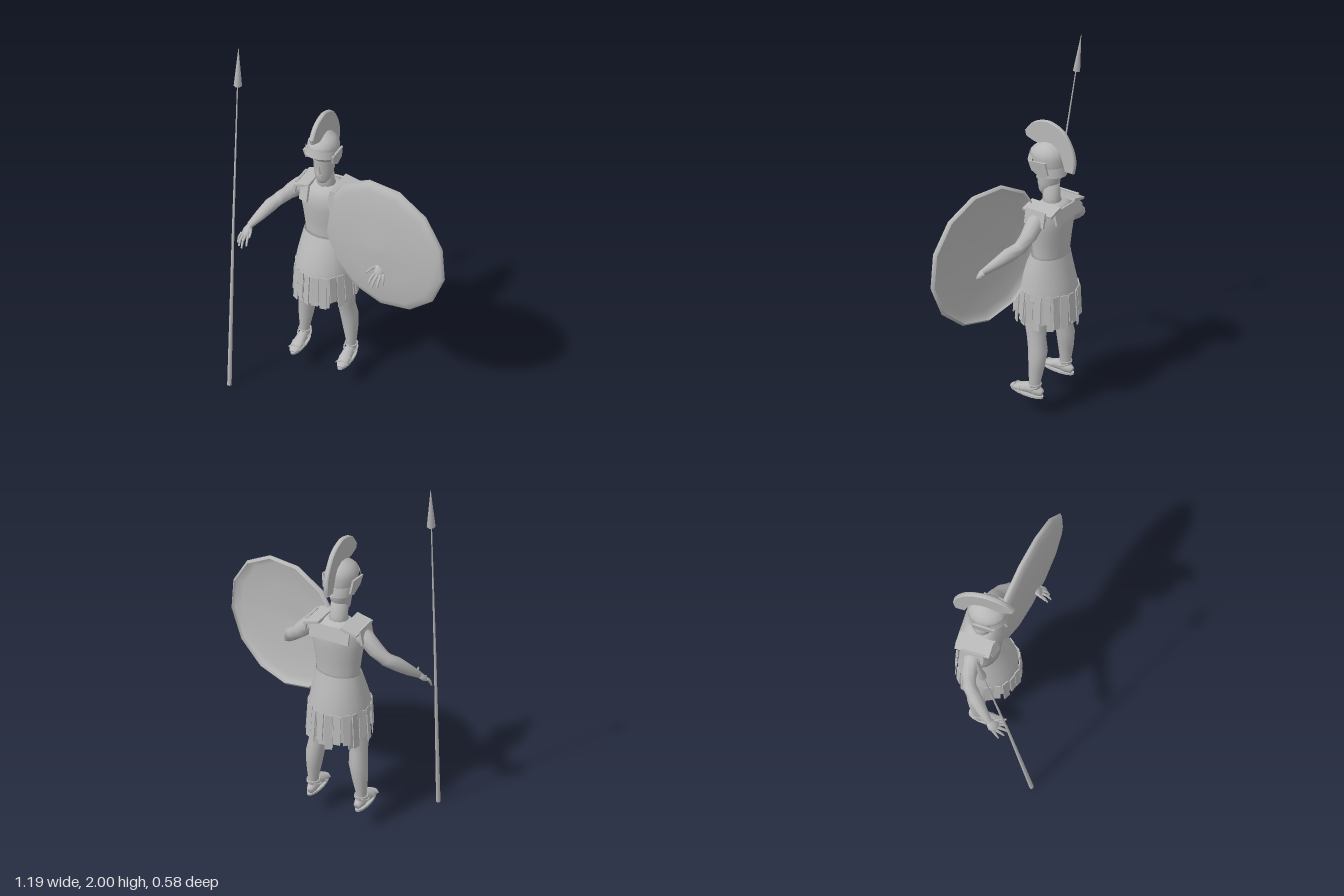
import * as THREE from 'three';

const grey = new THREE.MeshStandardMaterial({ color: 0xb8b8b8, side: THREE.DoubleSide });
grey.name = 'plain grey';

function add(parent, name, geometry, x = 0, y = 0, z = 0) {
  const mesh = new THREE.Mesh(geometry, grey);
  mesh.name = name;
  mesh.position.set(x, y, z);
  parent.add(mesh);
  return mesh;
}

// Skin over elliptical rings [x, y, z, rx, rz]; level rings lie flat, others follow the path
function loft(rings, sides = 10, level = false, capped = true) {
  const pos = [], index = [], up = new THREE.Vector3(0, 1, 0);
  const centres = rings.map(r => new THREE.Vector3(r[0], r[1], r[2]));
  rings.forEach((r, k) => {
    const a = centres[Math.max(k - 1, 0)], b = centres[Math.min(k + 1, rings.length - 1)];
    const q = new THREE.Quaternion();
    if (!level) q.setFromUnitVectors(up, b.clone().sub(a).normalize());
    for (let i = 0; i < sides; i++) {
      const t = i / sides * Math.PI * 2;
      const p = new THREE.Vector3(Math.sin(t) * r[3], 0, Math.cos(t) * (r[4] ?? r[3]));
      pos.push(...p.applyQuaternion(q).add(centres[k]).toArray());
    }
  });
  for (let k = 0; k < rings.length - 1; k++) {
    for (let i = 0; i < sides; i++) {
      const a = k * sides + i, b = k * sides + (i + 1) % sides;
      index.push(a, b, b + sides, a, b + sides, a + sides);
    }
  }
  if (capped) {
    const last = (rings.length - 1) * sides, c = pos.length / 3;
    pos.push(...centres[0].toArray(), ...centres.at(-1).toArray());
    for (let i = 0; i < sides; i++) {
      const j = (i + 1) % sides;
      index.push(c, j, i, c + 1, last + i, last + j);
    }
  }
  const g = new THREE.BufferGeometry();
  g.setAttribute('position', new THREE.Float32BufferAttribute(pos, 3));
  g.setIndex(index);
  g.computeVertexNormals();
  return g;
}

function makeArm() {
  const arm = new THREE.Group();
  arm.name = 'arm';
  add(arm, 'armLimb', loft([
    [0.10, 1.21, -0.125, 0.045], [0.16, 1.185, -0.125, 0.046], [0.21, 1.135, -0.125, 0.042],
    [0.265, 1.085, -0.11, 0.036], [0.305, 1.05, -0.07, 0.037], [0.345, 1.0, -0.02, 0.029],
    [0.382, 0.955, 0.03, 0.018]]));
  add(arm, 'palm', loft([
    [0.378, 0.958, 0.026, 0.018, 0.016], [0.388, 0.935, 0.05, 0.03, 0.016],
    [0.392, 0.915, 0.07, 0.028, 0.012]], 8));
  // Thumb first, then the four spread fingers
  const fingers = [
    [[0.368, 0.945, 0.045], [0.352, 0.947, 0.075], [0.340, 0.94, 0.11]],
    [[0.37, 0.92, 0.065], [0.362, 0.905, 0.1], [0.357, 0.88, 0.118]],
    [[0.385, 0.915, 0.07], [0.383, 0.9, 0.11], [0.38, 0.87, 0.13]],
    [[0.4, 0.915, 0.068], [0.405, 0.895, 0.1], [0.404, 0.868, 0.115]],
    [[0.412, 0.92, 0.062], [0.422, 0.9, 0.08], [0.425, 0.87, 0.092]]];
  for (const f of fingers) add(arm, 'finger', loft(f.map((p, i) => [...p, 0.009 - i * 0.002]), 6));
  return arm;
}

function makeLeg() {
  const leg = new THREE.Group();
  leg.name = 'leg';
  add(leg, 'legLimb', loft([
    [0.145, 0.16, -0.128, 0.026, 0.034], [0.145, 0.23, -0.125, 0.028, 0.034],
    [0.138, 0.32, -0.13, 0.041, 0.045], [0.128, 0.42, -0.132, 0.05, 0.054],
    [0.12, 0.50, -0.115, 0.047, 0.054], [0.115, 0.56, -0.11, 0.054, 0.063],
    [0.09, 0.70, -0.105, 0.068, 0.075], [0.075, 0.85, -0.105, 0.07, 0.075]], 12, true));
  add(leg, 'foot', loft([
    [0.142, 0.167, -0.172, 0.018, 0.02], [0.143, 0.175, -0.14, 0.029, 0.032],
    [0.145, 0.178, -0.09, 0.03, 0.034], [0.147, 0.165, -0.04, 0.034, 0.022],
    [0.148, 0.157, 0.0, 0.033, 0.014], [0.148, 0.152, 0.025, 0.02, 0.009]], 10));
  // Sandal sole and straps
  const sole = new THREE.CylinderGeometry(1, 1, 0.012, 16);
  sole.scale(0.036, 1, 0.108);
  add(leg, 'sandalSole', sole, 0.146, 0.143, -0.073);
  for (const [y, z, r, tilt] of [[0.215, -0.125, 0.034, 0], [0.19, -0.118, 0.039, 0.35]]) {
    const strap = add(leg, 'sandalStrap', new THREE.TorusGeometry(r, 0.005, 5, 12), 0.145, y, z);
    strap.rotation.x = Math.PI / 2 + tilt;
  }
  for (const [z, h] of [[-0.045, 0.03], [0.0, 0.019]]) {
    const strap = add(leg, 'toeStrap', new THREE.TorusGeometry(1, 0.14, 5, 12, Math.PI), 0.147, 0.156, z);
    strap.scale.set(0.035, h, 0.035);
  }
  return leg;
}

function makeHead() {
  const head = new THREE.Group();
  head.name = 'head';
  add(head, 'neck', loft([
    [0, 1.22, -0.125, 0.065, 0.06], [0, 1.28, -0.118, 0.045, 0.046],
    [0, 1.36, -0.11, 0.044, 0.05]], 10, true));
  add(head, 'face', loft([
    [0, 1.29, -0.073, 0.022, 0.018], [0, 1.315, -0.085, 0.042, 0.04],
    [0, 1.36, -0.1, 0.052, 0.06], [0, 1.42, -0.105, 0.058, 0.066],
    [0, 1.48, -0.1, 0.06, 0.068]], 12, true));
  const nose = add(head, 'nose', new THREE.ConeGeometry(0.014, 0.05, 4), 0, 1.385, -0.038);
  nose.rotation.x = -0.2;
  add(head, 'mouth', new THREE.BoxGeometry(0.03, 0.008, 0.012), 0, 1.342, -0.045);
  // Helmet bowl, neck guard and raised visor
  add(head, 'helmetBowl', loft([
    [0, 1.43, -0.115, 0.07, 0.075], [0, 1.47, -0.1, 0.074, 0.085], [0, 1.5, -0.092, 0.083, 0.097],
    [0, 1.53, -0.09, 0.076, 0.09], [0, 1.555, -0.095, 0.056, 0.067],
    [0, 1.575, -0.1, 0.02, 0.025]], 14, true));
  add(head, 'neckGuard', loft([
    [0, 1.41, -0.13, 0.072, 0.068], [0, 1.46, -0.112, 0.074, 0.074]], 14, true, false));
  const visor = new THREE.CylinderGeometry(0.085, 0.09, 0.04, 9, 1, true, -1.25, 2.5);
  add(head, 'visor', visor, 0, 1.485, -0.078).rotation.x = -0.15;
  for (const s of [-1, 1]) {
    const cheek = new THREE.Shape([[-0.05, 0.05], [-0.06, -0.02], [-0.02, -0.045], [0.04, -0.01], [0.055, 0.04]]
      .map(p => new THREE.Vector2(...p)));
    const g = new THREE.ExtrudeGeometry(cheek, { depth: 0.01, bevelEnabled: false });
    g.rotateY(-Math.PI / 2);
    add(head, 'cheekGuard', g, s * 0.076 + 0.005, 1.445, -0.085).rotation.z = -s * 0.15;
  }
  // Crest drawn in the z-y plane
  const s = new THREE.Shape();
  s.moveTo(0.042, 1.605);
  s.splineThru([[0.0, 1.655], [-0.06, 1.68], [-0.12, 1.68], [-0.19, 1.645], [-0.24, 1.57], [-0.258, 1.5], [-0.25, 1.443]]
    .map(p => new THREE.Vector2(...p)));
  s.lineTo(-0.205, 1.443);
  s.splineThru([[-0.185, 1.5], [-0.15, 1.545], [-0.1, 1.57], [-0.03, 1.56], [0.035, 1.58]]
    .map(p => new THREE.Vector2(...p)));
  const crest = new THREE.ExtrudeGeometry(s, {
    depth: 0.012, bevelThickness: 0.006, bevelSize: 0.004, bevelSegments: 1, curveSegments: 14 });
  crest.translate(0, 0, -0.006).rotateY(-Math.PI / 2);
  add(head, 'crest', crest);
  return head;
}

function makeSkirt() {
  const skirt = new THREE.Group();
  skirt.name = 'skirt';
  add(skirt, 'skirtCloth', loft([
    [0, 0.73, -0.1, 0.168, 0.162], [0, 0.80, -0.102, 0.158, 0.15], [0, 0.89, -0.11, 0.139, 0.118],
    [0, 0.96, -0.118, 0.124, 0.093]], 18, true, false));
  // Two rows of hanging strips with uneven lengths
  for (const [count, scale, top, drop] of [[22, 1, 0.765, 0.18], [18, 0.88, 0.76, 0.185]]) {
    for (let i = 0; i < count; i++) {
      const a = (i + 0.5) / count * Math.PI * 2, len = drop + 0.022 * Math.sin(i * 2.4);
      const g = new THREE.BoxGeometry(0.038, len, 0.006);
      g.translate(0, -len / 2, 0).rotateX(-0.07).rotateY(a + 0.3 * Math.sin(i * 4.1));
      add(skirt, 'skirtStrip', g, Math.sin(a) * 0.16 * scale, top, -0.1 + Math.cos(a) * 0.168 * scale);
    }
  }
  return skirt;
}

function makeTorso() {
  const torso = new THREE.Group();
  torso.name = 'torso';
  add(torso, 'breastplate', loft([
    [0, 0.93, -0.12, 0.122, 0.09], [0, 0.97, -0.122, 0.117, 0.085], [0, 1.05, -0.122, 0.126, 0.092],
    [0, 1.13, -0.122, 0.138, 0.1], [0, 1.2, -0.124, 0.137, 0.1], [0, 1.235, -0.13, 0.118, 0.08],
    [0, 1.26, -0.13, 0.07, 0.058]], 16, true));
  // Shoulder yoke, front straps and shoulder flaps
  add(torso, 'backYoke', new THREE.BoxGeometry(0.22, 0.07, 0.012), 0, 1.215, -0.218).rotation.x = 0.25;
  for (const s of [-1, 1]) {
    const top = add(torso, 'shoulderPlate', new THREE.BoxGeometry(0.09, 0.014, 0.18), s * 0.105, 1.25, -0.13);
    top.rotation.z = -s * 0.25;
    const strap = add(torso, 'chestStrap', new THREE.BoxGeometry(0.06, 0.085, 0.012), s * 0.085, 1.215, -0.036);
    strap.rotation.set(-0.3, s * 0.4, 0);
    const flap = add(torso, 'shoulderFlap', new THREE.BoxGeometry(0.012, 0.08, 0.12), s * 0.155, 1.215, -0.125);
    flap.rotation.z = s * 0.2;
  }
  return torso;
}

function makeShield() {
  const profile = [[0.365, -0.008], [0.38, 0.004], [0.368, 0.02], [0.33, 0.034], [0.2, 0.05], [0, 0.058]];
  const g = new THREE.LatheGeometry(profile.map(p => new THREE.Vector2(...p)), 13);
  g.rotateX(Math.PI / 2);
  const shield = new THREE.Mesh(g, grey);
  shield.name = 'shield';
  shield.position.set(0.22, 1.055, -0.003);
  shield.rotation.y = -0.185;
  return shield;
}

function makeSpear() {
  const spear = new THREE.Group();
  spear.name = 'spear';
  add(spear, 'spearShaft', loft([
    [-0.582, 0.002, 0.277, 0.013], [-0.58, 1, 0.145, 0.007], [-0.58, 1.81, 0.026, 0.003]], 8));
  add(spear, 'spearHead', loft([
    [-0.58, 1.8, 0.024, 0.021], [-0.58, 2, 0, 0.0008]], 6));
  return spear;
}

export function createModel() {
  const model = new THREE.Group();
  model.name = 'shieldBearer';
  const body = new THREE.Group();
  body.name = 'body';
  body.position.x = -0.165;
  body.add(makeHead(), makeTorso(), makeSkirt());
  for (const s of [-1, 1]) {
    const side = new THREE.Group();
    side.name = s > 0 ? 'leftLimbs' : 'rightLimbs';
    side.scale.x = s;
    side.add(makeArm(), makeLeg());
    body.add(side);
  }
  model.add(body, makeShield(), makeSpear());
  return model;
}
